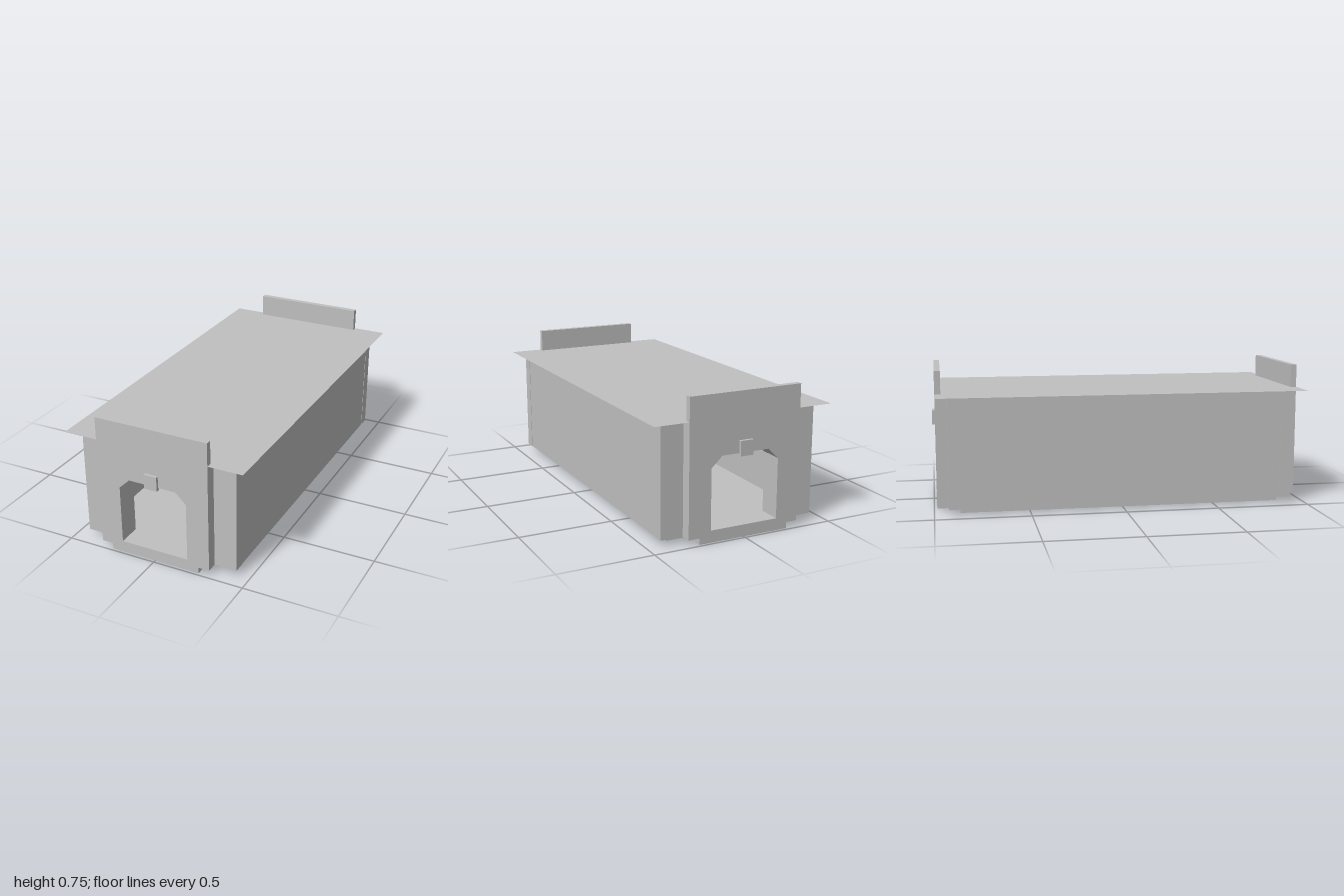
import * as THREE from 'three';

export function createModel() {
  const model = new THREE.Group();
  const stone = new THREE.MeshStandardMaterial({ color: 0xc0c0c0 });
  stone.name = 'grey stone';
  stone.side = THREE.DoubleSide;

  function add(name, geometry, x = 0, y = 0, z = 0) {
    const mesh = new THREE.Mesh(geometry, stone);
    mesh.name = name;
    mesh.position.set(x, y, z);
    model.add(mesh);
    return mesh;
  }
  // Box given by its limits on each axis
  function block(name, x0, x1, y0, y1, z0, z1) {
    return add(name, new THREE.BoxGeometry(x1 - x0, y1 - y0, z1 - z0),
      (x0 + x1) / 2, (y0 + y1) / 2, (z0 + z1) / 2);
  }
  const polygon = (points) => points.map(([x, y]) => new THREE.Vector2(x, y));

  // Upright slab pierced by the doorway with cut upper corners
  function doorSlab(name, halfWidth, z0, z1) {
    const shape = new THREE.Shape(polygon([
      [-halfWidth, 0.033], [halfWidth, 0.033], [halfWidth, 0.62], [-halfWidth, 0.62],
    ]));
    shape.holes.push(new THREE.Path(polygon([
      [-0.188, 0.063], [-0.188, 0.38], [-0.13, 0.435],
      [0.13, 0.435], [0.188, 0.38], [0.188, 0.063],
    ])));
    add(name, new THREE.ExtrudeGeometry(shape, { depth: z1 - z0, bevelEnabled: false }), 0, 0, z0);
  }

  // Foundation with stepped corners
  const base = new THREE.Shape(polygon([
    [-0.25, -0.985], [0.25, -0.985], [0.25, -0.865], [0.37, -0.865],
    [0.37, 0.865], [0.25, 0.865], [0.25, 0.985], [-0.25, 0.985],
    [-0.25, 0.865], [-0.37, 0.865], [-0.37, -0.865], [-0.25, -0.865],
  ]));
  const baseGeometry = new THREE.ExtrudeGeometry(base, { depth: 0.033, bevelEnabled: false });
  baseGeometry.rotateX(-Math.PI / 2);
  add('foundation', baseGeometry);
  block('floor', -0.37, 0.37, 0.033, 0.063, -0.86, 0.86);

  // Long side walls
  for (const s of [-1, 1]) {
    block('sideWall', s * 0.4 - 0.03, s * 0.4 + 0.03, 0.033, 0.62, -0.86, 0.86);
  }

  // Matching ends: wall, projecting portal, parapet and keystone
  for (const s of [-1, 1]) {
    const span = (a, b) => (s > 0 ? [a, b] : [-b, -a]);
    doorSlab('endWall', 0.432, ...span(0.86, 0.925));
    doorSlab('portal', 0.31, ...span(0.925, 0.985));
    block('parapet', -0.31, 0.31, 0.62, 0.745, ...span(0.953, 0.985));
    block('keystone', -0.036, 0.036, 0.422, 0.5, ...span(0.975, 1));
  }

  // Thin overhanging roof
  const roof = new THREE.PlaneGeometry(0.99, 1.97);
  roof.rotateX(-Math.PI / 2);
  add('roof', roof, 0, 0.622, 0);

  // Ceiling beams
  for (let i = -3; i <= 3; i++) {
    block('ceilingBeam', -0.37, 0.37, 0.56, 0.62, i * 0.22 - 0.03, i * 0.22 + 0.03);
  }

  // Central chest with small corner blocks and two candles
  block('chest', -0.123, 0.123, 0.063, 0.243, -0.25, 0.25);
  for (const x of [-0.106, 0.104]) {
    for (const z of [-0.255, 0.255]) {
      block('chestBlock', x - 0.014, x + 0.014, 0.077, 0.1, z - 0.01, z + 0.01);
    }
  }
  for (const [x, height] of [[-0.032, 0.042], [0.03, 0.03]]) {
    add('candle', new THREE.CylinderGeometry(0.004, 0.004, height, 8), x, 0.243 + height / 2, 0);
  }

  // Loose stones on the floor
  for (const [x, z] of [[-0.175, 0.2], [-0.165, -0.3], [0.13, 0.35], [0.155, -0.1], [0.175, -0.4]]) {
    block('floorStone', x - 0.01, x + 0.01, 0.063, 0.073, z - 0.01, z + 0.01);
  }

  return model;
}
